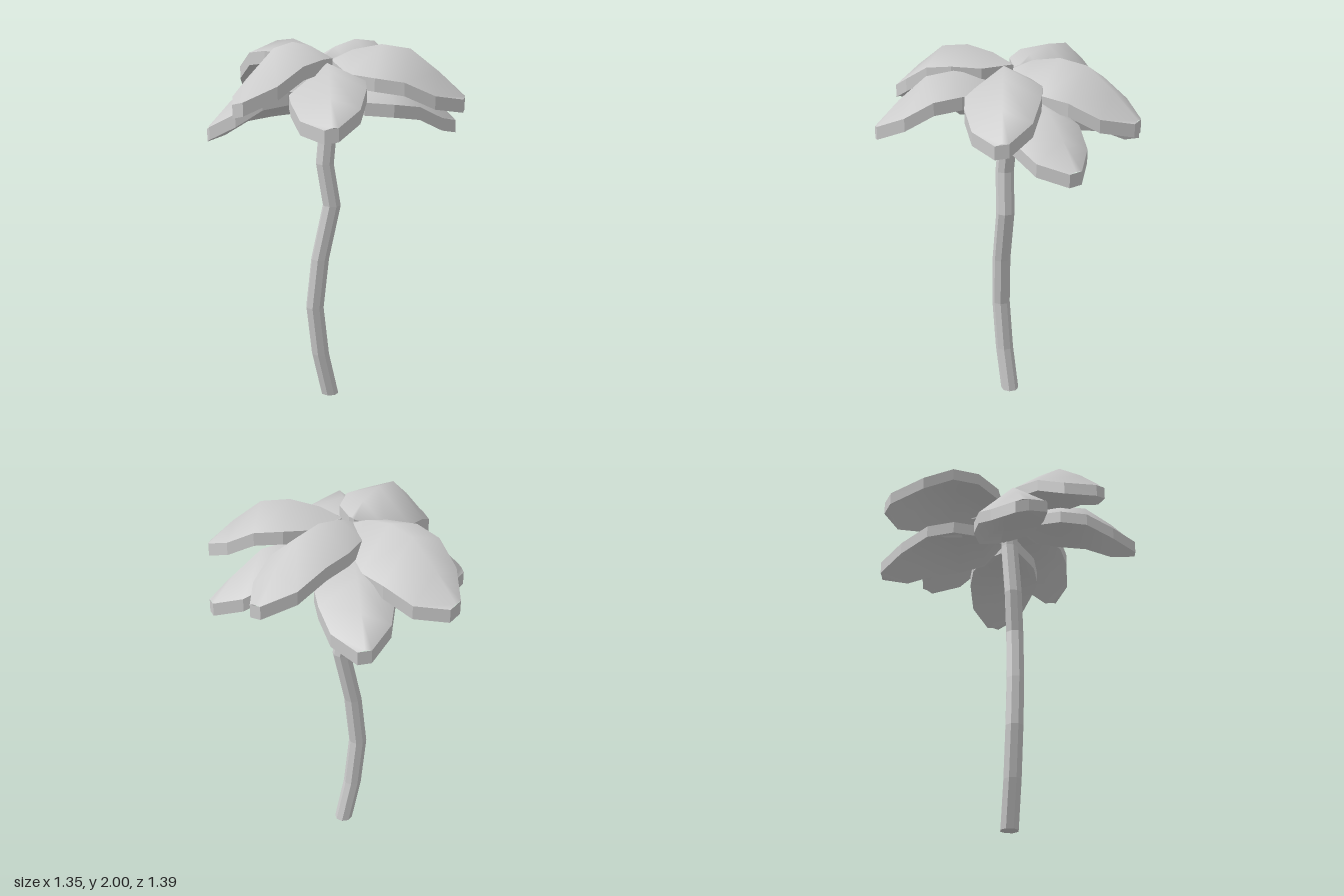
import * as THREE from 'three';
import { mergeGeometries } from 'three/addons/utils/BufferGeometryUtils.js';

const material = new THREE.MeshStandardMaterial({ color: 0xcccccc });
const flatMaterial = new THREE.MeshStandardMaterial({ color: 0xcccccc, flatShading: true });

// Surface through rows of points; flip reverses the facing
function sheet(rows, { flip = false, flat = false } = {}) {
  const cols = rows[0].length;
  const index = [];
  for (let i = 0; i < rows.length - 1; i++) {
    for (let j = 0; j < cols - 1; j++) {
      const a = i * cols + j, b = a + 1, c = a + cols, d = c + 1;
      index.push(...(flip ? [a, c, b, b, c, d] : [a, b, c, b, d, c]));
    }
  }
  let geo = new THREE.BufferGeometry();
  geo.setAttribute('position', new THREE.Float32BufferAttribute(rows.flat(2), 3));
  geo.setIndex(index);
  if (flat) geo = geo.toNonIndexed();
  geo.computeVertexNormals();
  return flat ? geo : geo.toNonIndexed();
}

// Leaf stations along +x: distance, half width, ridge height, drop from ridge to edge
const STATIONS = [
  [0, 0.015, -0.08, 0.005],
  [0.11, 0.142, -0.03, 0.09],
  [0.26, 0.193, 0, 0.125],
  [0.41, 0.187, -0.02, 0.125],
  [0.56, 0.145, -0.135, 0.085],
  [0.69, 0.034, -0.26, 0.005],
];
const THICK = 0.068;

// Thick, roof-shaped leaf with upright rim; a positive roll lowers the +z edge
function leafGeometry(length, roll) {
  const stretch = length / 0.69;
  const top = STATIONS.map(([u, w, y, drop]) => [-1, 0, 1].map((s) =>
    [u * stretch, y - Math.abs(s) * drop - s * w * roll, s * w]));
  const lower = ([x, y, z]) => [x, y - THICK, z];
  const bottom = top.map((row) => row.map(lower));
  // Outline runs out along one edge, round the tip and back
  const rim = [
    ...top.map((r) => r[0]),
    ...top.slice().reverse().map((r) => r[2]),
    top[0][0],
  ];
  return mergeGeometries([
    sheet(top),
    sheet(bottom, { flip: true }),
    sheet([rim, rim.map(lower)], { flat: true }),
  ]);
}

// Trunk: octagonal rings along a bent line
function trunkGeometry() {
  const centres = [
    [-0.044, 0, 0.002], [-0.09, 0.25, 0.035], [-0.115, 0.53, 0.055], [-0.085, 0.81, 0.05],
    [-0.025, 1.11, 0.025], [-0.062, 1.34, 0.03], [-0.04, 1.65, 0.0], [-0.05, 1.86, -0.01],
  ];
  const sides = 8, radius = 0.05;
  const ring = ([x, y, z], r) => Array.from({ length: sides + 1 }, (_, i) => {
    const a = (i % sides) / sides * Math.PI * 2;
    return [x + r * Math.cos(a), y, z + r * Math.sin(a)];
  });
  const last = centres[centres.length - 1];
  const rows = [ring(centres[0], 0.0001), ...centres.map((c) => ring(c, radius)), ring(last, 0.0001)];
  return sheet(rows, { flip: true, flat: true });
}

// Base x, z; tip x, z; peak height; roll
const LEAVES = [
  ['upperLeafLeft', -0.02, 0.03, 0.675, 0.01, 1.98, 0.15],
  ['upperLeafBack', -0.1, -0.02, 0.262, -0.648, 1.98, 0.15],
  ['upperLeafRight', -0.08, -0.03, -0.655, -0.47, 1.98, 0.36],
  ['upperLeafFront', -0.08, -0.01, -0.34, 0.625, 2.0, 0.24],
  ['lowerLeafFront', -0.055, 0.05, 0.143, 0.684, 1.905, 0.18],
  ['lowerLeafLeft', 0.0, 0.01, 0.575, -0.338, 1.815, 0.1],
  ['lowerLeafBack', -0.06, -0.04, -0.265, -0.69, 1.815, 0.1],
  ['lowerLeafRight', -0.09, -0.03, -0.625, 0.285, 1.815, 0.3],
];

export function createModel() {
  const group = new THREE.Group();
  group.name = 'palmTree';

  const trunk = new THREE.Mesh(trunkGeometry(), flatMaterial);
  trunk.name = 'trunk';
  group.add(trunk);

  for (const [name, bx, bz, tx, tz, peak, roll] of LEAVES) {
    const dx = tx - bx, dz = tz - bz;
    const leaf = new THREE.Mesh(leafGeometry(Math.hypot(dx, dz), roll), material);
    leaf.name = name;
    leaf.position.set(bx, peak, bz);
    leaf.rotation.y = Math.atan2(-dz, dx);
    group.add(leaf);
  }
  return group;
}
